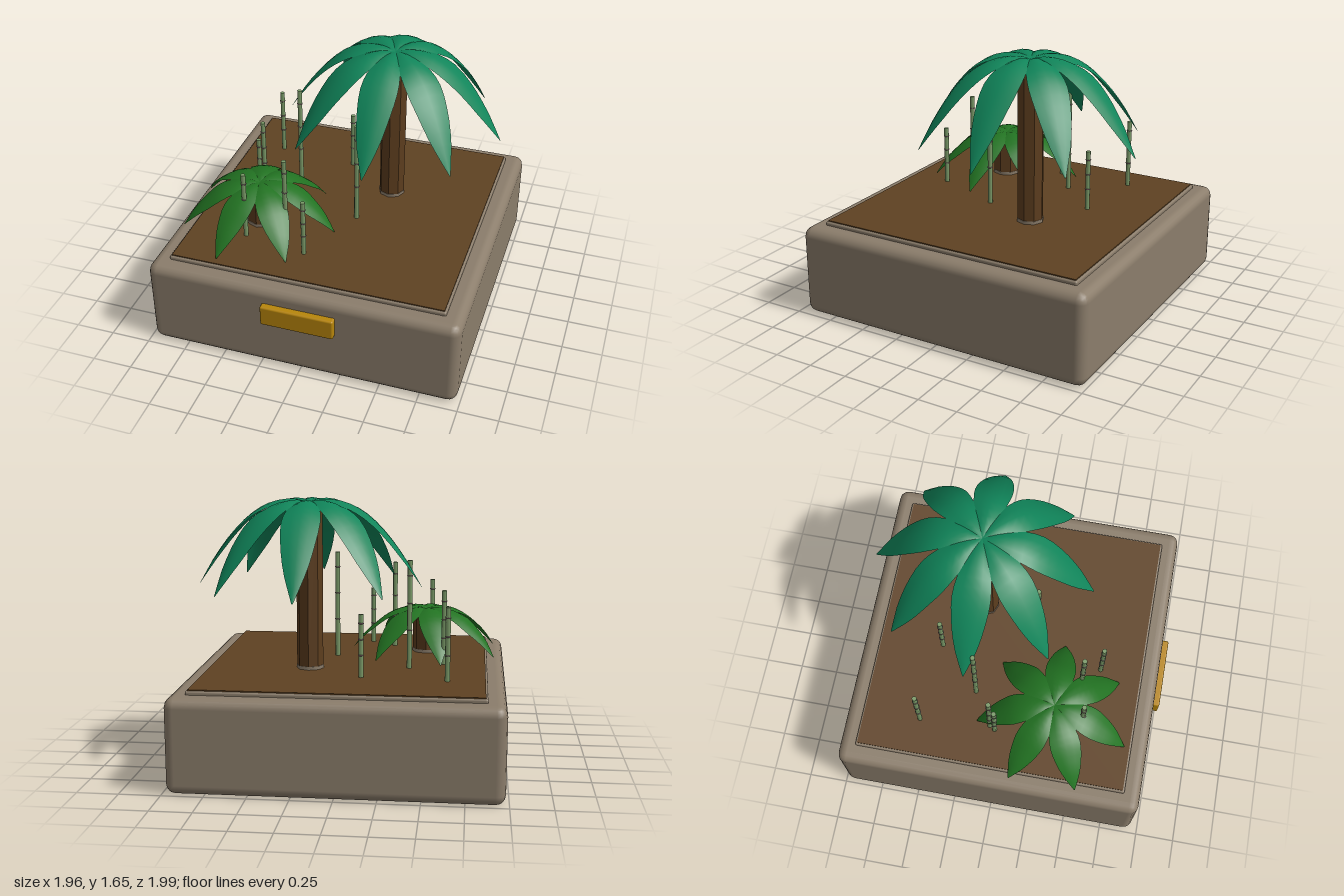
import * as THREE from 'three';
import { RoundedBoxGeometry } from 'three/addons/geometries/RoundedBoxGeometry.js';

const mat = (name, color, extra = {}) => {
  const m = new THREE.MeshStandardMaterial({ color, ...extra });
  m.name = name;
  return m;
};

export function createModel() {
  const stone = mat('stone', 0x8b7d6b);
  const soil = mat('soil', 0x5f4222);
  const bark = mat('bark', 0x5c3d1e, { flatShading: true });
  const emerald = mat('emeraldLeaf', 0x10855a, { side: THREE.DoubleSide });
  const green = mat('greenLeaf', 0x227322, { side: THREE.DoubleSide });
  const stalkGreen = mat('stalkGreen', 0x7a9a68);
  const mauve = mat('nodeMauve', 0x856a70);
  const gold = mat('gold', 0xb8860b);

  const model = new THREE.Group();
  model.name = 'planter';

  const add = (parent, name, geometry, material, x, y, z) => {
    const mesh = new THREE.Mesh(geometry, material);
    mesh.name = name;
    mesh.position.set(x, y, z);
    parent.add(mesh);
    return mesh;
  };

  // Planter: rounded block, raised rim slab, soil and front plaque
  add(model, 'planterBase', new RoundedBoxGeometry(1.96, 0.575, 1.95, 2, 0.06), stone, 0, 0.2875, -0.02);
  add(model, 'soilRim', new RoundedBoxGeometry(1.74, 0.06, 1.74, 2, 0.012), stone, 0, 0.568, -0.02);
  add(model, 'soil', new THREE.BoxGeometry(1.715, 0.009, 1.715), soil, 0, 0.6, -0.02);
  add(model, 'plaque', new RoundedBoxGeometry(0.46, 0.135, 0.06, 2, 0.012), gold, 0, 0.408, 0.966);

  // Arched leaf along +x; profile rows are [distance, height, half width]
  const leafGeometry = (profile, droop) => {
    const across = 4, along = 14;
    const spine = new THREE.CatmullRomCurve3(profile.map(p => new THREE.Vector3(...p)));
    const positions = [], index = [];
    for (let i = 0; i <= along; i++) {
      const p = spine.getPoint(i / along);
      for (let j = 0; j <= across; j++) {
        const s = (j / across) * 2 - 1;
        positions.push(p.x, p.y - droop * s * s * Math.min(1, p.z / 0.08), s * p.z);
      }
    }
    for (let i = 0; i < along; i++) {
      for (let j = 0; j < across; j++) {
        const a = i * (across + 1) + j, b = a + across + 1;
        index.push(a, a + 1, b, a + 1, b + 1, b);
      }
    }
    const g = new THREE.BufferGeometry();
    g.setAttribute('position', new THREE.Float32BufferAttribute(positions, 3));
    g.setIndex(index);
    g.computeVertexNormals();
    return g;
  };

  // Palm: faceted trunk, stone collar and a ring of leaves
  const addPalm = (name, x, z, radius, trunkTop, count, profile, droop, material) => {
    const palm = new THREE.Group();
    palm.name = name;
    palm.position.set(x, 0, z);
    const h = trunkTop - 0.6;
    add(palm, 'trunk', new THREE.CylinderGeometry(radius, radius, h, 8), bark, 0, 0.6 + h / 2, 0);
    add(palm, 'trunkCollar', new THREE.CylinderGeometry(radius + 0.003, radius + 0.003, 0.025, 8), stone, 0, 0.6125, 0);
    const geometry = leafGeometry(profile, droop);
    for (let i = 0; i < count; i++) {
      add(palm, 'leaf', geometry, material, 0, 0, 0).rotation.y = (i / count) * Math.PI * 2;
    }
    model.add(palm);
  };

  addPalm('tallPalm', 0.23, -0.245, 0.082, 1.62, 8, [
    [0, 1.635, 0.02], [0.1, 1.655, 0.055], [0.23, 1.635, 0.097], [0.35, 1.57, 0.115],
    [0.47, 1.455, 0.1], [0.58, 1.31, 0.066], [0.69, 1.125, 0.003],
  ], 0.025, emerald);

  addPalm('smallPalm', -0.47, 0.325, 0.09, 0.875, 7, [
    [0, 0.89, 0.02], [0.07, 0.905, 0.045], [0.16, 0.893, 0.082], [0.25, 0.855, 0.096],
    [0.33, 0.795, 0.083], [0.41, 0.72, 0.053], [0.49, 0.615, 0.003],
  ], 0.02, green);

  // Jointed stalks: [x, z, top]
  const stalks = [
    [-0.63, -0.515, 1.05], [-0.595, -0.065, 1.075], [-0.615, -0.03, 0.965],
    [-0.5, 0.51, 1.055], [-0.385, -0.195, 1.28], [-0.25, 0.465, 1.175],
    [-0.11, -0.47, 0.99], [-0.095, 0.575, 0.98], [0.1, 0.12, 1.285],
  ];
  const nodeGeometry = new THREE.TorusGeometry(0.0155, 0.0035, 5, 10).rotateX(Math.PI / 2);
  for (const [x, z, top] of stalks) {
    const stalk = new THREE.Group();
    stalk.name = 'stalk';
    stalk.position.set(x, 0, z);
    const h = top - 0.6;
    add(stalk, 'stem', new THREE.CylinderGeometry(0.0155, 0.0155, h, 8), stalkGreen, 0, 0.6 + h / 2, 0);
    for (const t of [0.36, 0.61, 0.86]) add(stalk, 'node', nodeGeometry, mauve, 0, 0.6 + h * t, 0);
    model.add(stalk);
  }

  return model;
}
